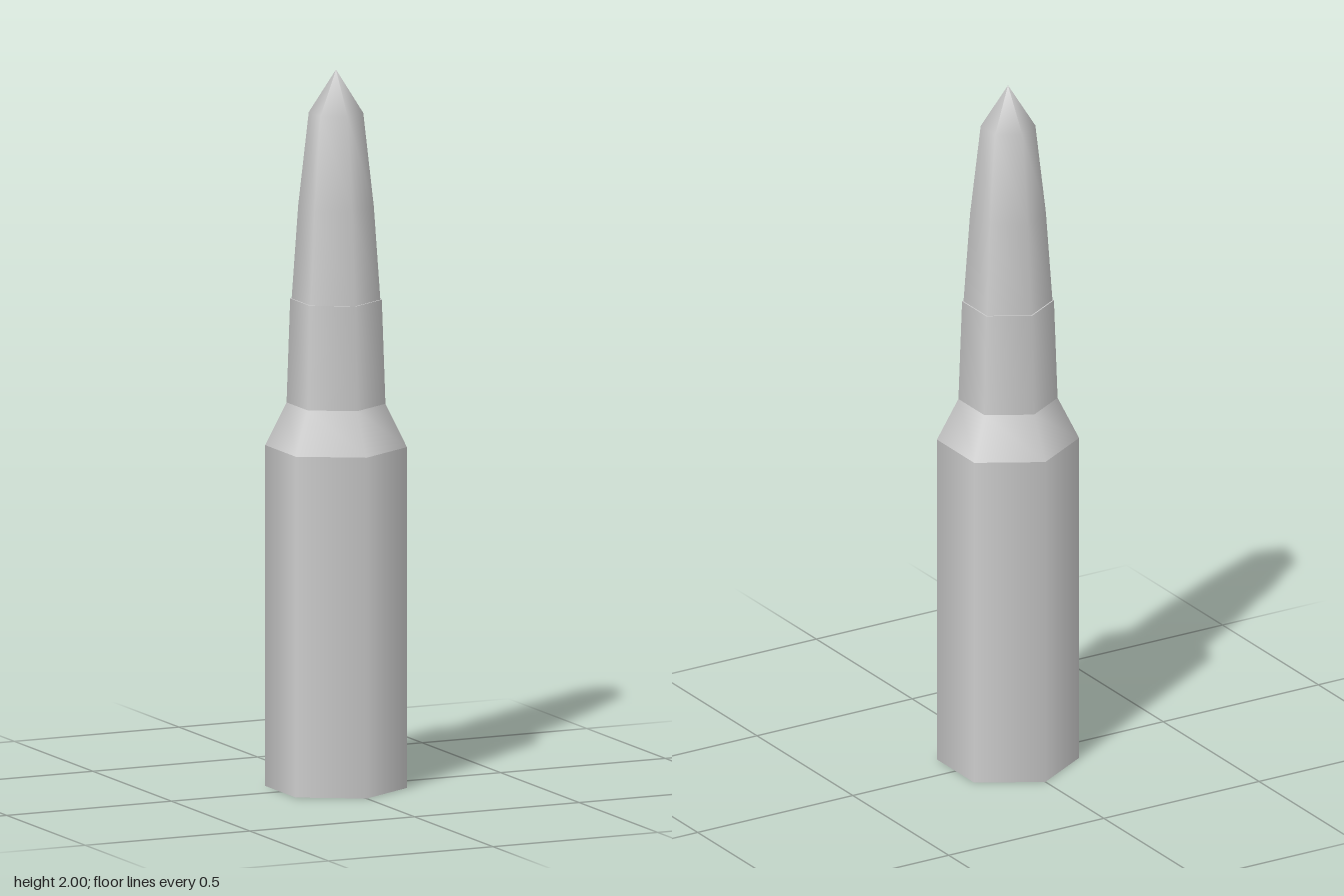
import * as THREE from 'three';

const SIDES = 6;

export function createModel() {
  const model = new THREE.Group();
  model.name = 'cartridge';
  const material = new THREE.MeshStandardMaterial({ color: 0xcccccc });

  // Turns a [radius, height] profile into a six-sided band, smooth around its axis
  const addBand = (name, profile, parent) => {
    const points = profile.map(([r, y]) => new THREE.Vector2(r, y));
    const mesh = new THREE.Mesh(new THREE.LatheGeometry(points, SIDES), material);
    mesh.name = name;
    parent.add(mesh);
  };

  // Case: separate bands keep the edges between them sharp
  const casing = new THREE.Group();
  casing.name = 'case';
  model.add(casing);
  addBand('caseBase', [[0, 0], [0.195, 0]], casing);
  addBand('caseBody', [[0.195, 0], [0.195, 0.95]], casing);
  addBand('caseShoulder', [[0.195, 0.95], [0.136, 1.07]], casing);
  addBand('caseNeck', [[0.136, 1.07], [0.126, 1.36]], casing);
  addBand('caseMouth', [[0.126, 1.36], [0.122, 1.36]], casing);

  // Bullet: one smooth taper up to the point
  addBand('bullet', [[0.122, 1.36], [0.104, 1.62], [0.075, 1.88], [0, 2]], model);

  return model;
}
